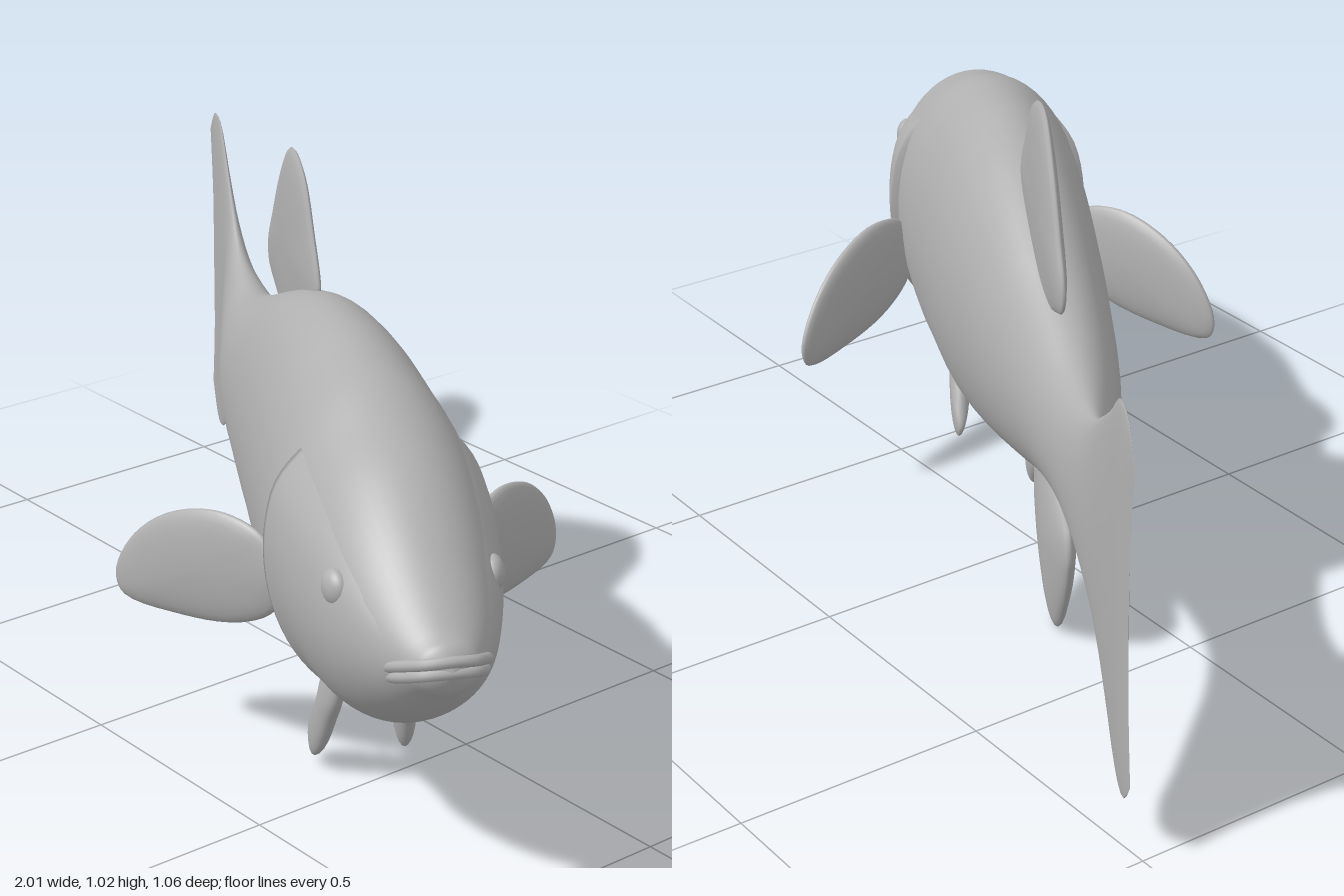
import * as THREE from 'three';

const grey = new THREE.MeshStandardMaterial({ color: 0xb0b0b0 });
grey.name = 'fish grey';

// Body stations from tail to snout: position, top, bottom, half width, sideways shift
const stations = [
  [-1.132, .78, .17, 0, -.022], [-1.09, .825, .12, .008, -.022], [-1.045, .84, .10, .012, -.021],
  [-.98, .83, .115, .014, -.019], [-.9, .77, .17, .017, -.016], [-.79, .70, .235, .024, -.01],
  [-.68, .64, .305, .042, -.004], [-.57, .62, .352, .06, 0], [-.46, .625, .353, .078, .004],
  [-.34, .66, .33, .1, .005], [-.23, .70, .295, .118, .002], [-.12, .745, .265, .135, -.005],
  [0, .79, .23, .15, -.01], [.11, .82, .205, .163, -.015], [.22, .835, .185, .173, -.016],
  [.33, .84, .18, .18, -.016], [.44, .83, .18, .187, -.016], [.55, .815, .207, .192, -.016],
  [.66, .78, .245, .188, -.016], [.78, .74, .265, .172, -.015], [.89, .68, .31, .147, -.014],
  [1.0, .60, .38, .105, -.018], [1.06, .555, .435, .068, -.02], [1.095, .535, .465, .04, -.021],
  [1.11, .502, .498, 0, -.022],
];
const profile = new THREE.CubicInterpolant(
  stations.map((r) => r[0]), stations.flatMap((r) => r.slice(1)), 4, new Float32Array(4));

// Section of the body at s: centre height, half height, half width, shift
function section(s) {
  const [top, bottom, half, shift] = profile.evaluate(s);
  return { c: (top + bottom) / 2, h: (top - bottom) / 2, half: Math.max(half, 0), shift };
}

function bodyPoint(s, a, grow = 0) {
  const { c, h, half, shift } = section(s);
  const v = Math.sin(a);
  // shallow notch in the rear edge of the tail
  const notch = THREE.MathUtils.smoothstep(-s, 0.95, 1.132) * 0.035 * (1 - v * v);
  return [s + notch, c + (h + grow) * v, shift + (half + grow) * Math.cos(a)];
}

// Smooth surface of nu strips, closed around in nv steps
function grid(nu, nv, fn) {
  const pos = [], idx = [];
  for (let i = 0; i <= nu; i++) for (let j = 0; j < nv; j++) pos.push(...fn(i / nu, j / nv));
  for (let i = 0; i < nu; i++) {
    for (let j = 0; j < nv; j++) {
      const k = (j + 1) % nv, a = i * nv + j, b = a + nv, c = (i + 1) * nv + k, d = i * nv + k;
      idx.push(a, b, c, a, c, d);
    }
  }
  const g = new THREE.BufferGeometry();
  g.setAttribute('position', new THREE.Float32BufferAttribute(pos, 3));
  g.setIndex(idx);
  g.computeVertexNormals();
  return g;
}

// Lens-thick fin from an outline in the x-y plane
function finGeometry(points, thickness) {
  const curve = new THREE.CatmullRomCurve3(points.map(([x, y]) => new THREE.Vector3(x, y, 0)), true);
  const rim = curve.getPoints(56).slice(0, 56);
  if (THREE.ShapeUtils.area(rim) < 0) rim.reverse();
  const mid = rim.reduce((m, p) => m.add(p), new THREE.Vector3()).divideScalar(rim.length);
  return grid(16, 56, (u, v) => {
    const p = rim[Math.round(v * 56)], r = Math.sin(u * Math.PI);
    return [mid.x + (p.x - mid.x) * r, mid.y + (p.y - mid.y) * r, thickness * Math.cos(u * Math.PI)];
  });
}

export function createModel() {
  const model = new THREE.Group();
  const fish = new THREE.Group();
  fish.name = 'fish';
  fish.rotation.y = -0.468;
  model.add(fish);
  const add = (name, geometry, x = 0, y = 0, z = 0) => {
    const mesh = new THREE.Mesh(geometry, grey);
    mesh.name = name;
    mesh.position.set(x, y, z);
    fish.add(mesh);
    return mesh;
  };

  // Body and tail in one skin, with rings closer together at the snout
  add('bodyAndTail', grid(110, 56, (u, v) =>
    bodyPoint(-1.132 + 2.242 * (1 - Math.pow(1 - u, 1.35)), v * Math.PI * 2)));

  // Head with a raised gill-cover edge that melts into the crown and snout
  add('gillCover', grid(40, 72, (u, v) => {
    const a = v * Math.PI * 2, up = Math.sin(a);
    const start = 0.565 + (up > 0 ? 0.05 : 0.09) * up * up;
    const t = Math.max(0, (u - 0.025) / 0.975);
    const fade = 1 - THREE.MathUtils.smoothstep(up, 0.35, 0.8);
    const grow = u === 0 ? -0.025 : -0.004 + 0.019 * fade * Math.pow(1 - t, 0.8);
    return bodyPoint(start + t * (1.08 - start), a, grow);
  }));

  // Lips: two soft rolls meeting at the mouth line
  const onBody = (s, y, side, grow) => {
    const { c, h } = section(s);
    const a = Math.asin(THREE.MathUtils.clamp((y - c) / h, -1, 1));
    return new THREE.Vector3(...bodyPoint(s, side > 0 ? a : Math.PI - a, grow));
  };
  const mouth = [[1.015, .468, -.012], [1.035, .48, -.004], [1.065, .494, -.001], [1.09, .506, -.002]];
  for (const [name, dy] of [['upperLip', 0.01], ['lowerLip', -0.011]]) {
    const half = (side) => mouth.map(([s, y, g]) => onBody(s, y + dy, side, g));
    const path = [...half(1), new THREE.Vector3(1.1, 0.511 + dy, -0.022), ...half(-1).reverse()];
    add(name, new THREE.TubeGeometry(new THREE.CatmullRomCurve3(path), 40, 0.0105, 10));
  }

  // Dorsal fin
  add('dorsalFin', finGeometry([[.08, .80], [.01, .91], [-.06, .99], [-.14, 1.022], [-.2, 1.015],
    [-.28, .94], [-.36, .83], [-.405, .76], [-.4, .715], [-.33, .68], [-.22, .65], [-.05, .70]], 0.02),
  0, 0, -0.016);

  // Anal fin and the small spur ahead of it
  add('analFin', finGeometry([[-.11, .27], [-.15, .15], [-.22, .065], [-.29, .015], [-.335, .01],
    [-.4, .08], [-.455, .17], [-.475, .24], [-.455, .288], [-.36, .312], [-.25, .34], [-.16, .34]], 0.028),
  0, 0, -0.014);
  add('ventSpur', finGeometry([[.01, .25], [-.005, .2], [-.035, .168], [-.055, .185],
    [-.09, .245], [-.05, .29]], 0.018), 0, 0, -0.012);

  // Paired fins and eyes
  const pectoral = finGeometry([[.035, .44], [-.01, .5], [-.05, .525], [-.14, .535], [-.25, .5],
    [-.335, .43], [-.375, .35], [-.36, .31], [-.22, .303], [-.08, .325], [0, .37]], 0.026);
  const pelvic = finGeometry([[.53, .04], [.50, -.05], [.45, -.14], [.43, -.19], [.455, -.215],
    [.5, -.19], [.55, -.11], [.59, -.04], [.6, .03], [.57, .06]], 0.022);
  const eyeBall = new THREE.SphereGeometry(0.034, 24, 16);
  for (const side of [1, -1]) {
    const label = side > 0 ? 'right' : 'left';
    add(label + 'PectoralFin', pectoral, 0.54, 0, -0.015 + side * 0.18).rotation.y = side * 0.727;
    add(label + 'PelvicFin', pelvic, 0, 0.24, -0.012 + side * 0.066).rotation.x = -side * 0.1;
    const eye = add(label + 'Eye', eyeBall, 0.867, 0.565, -0.014 + side * 0.138);
    eye.scale.z = 0.65;
    eye.rotation.y = side * 0.25;
  }
  return model;
}
